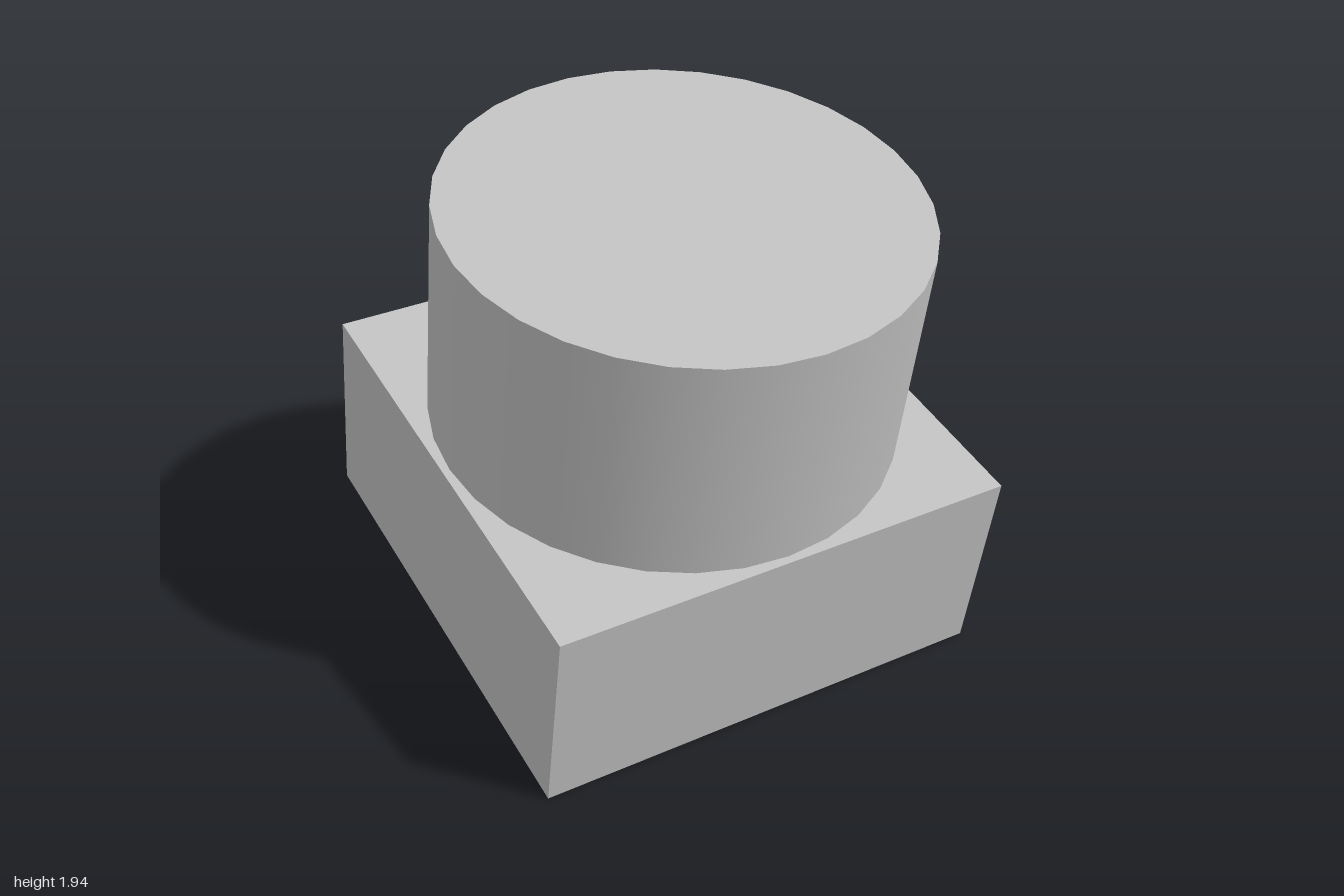
import * as THREE from 'three';

export function createModel() {
  const model = new THREE.Group();
  model.name = 'tiltedBlockAndDrum';

  const grey = new THREE.MeshStandardMaterial({ color: 0xc0c0c0 });
  grey.name = 'plain grey';

  const side = 1.766, baseHeight = 0.777;
  const radius = 0.855, drumHeight = 0.883;

  // Both parts share one forward lean
  const body = new THREE.Group();
  body.name = 'leaningBody';
  body.rotation.x = THREE.MathUtils.degToRad(10);
  body.position.set(0, 0.536, -0.064);
  model.add(body);

  // Square base block
  const base = new THREE.Mesh(new THREE.BoxGeometry(side, baseHeight, side), grey);
  base.name = 'baseBlock';
  body.add(base);

  // Round drum standing on the block
  const drum = new THREE.Mesh(new THREE.CylinderGeometry(radius, radius, drumHeight, 32), grey);
  drum.name = 'drum';
  drum.position.y = (baseHeight + drumHeight) / 2;
  body.add(drum);

  return model;
}
